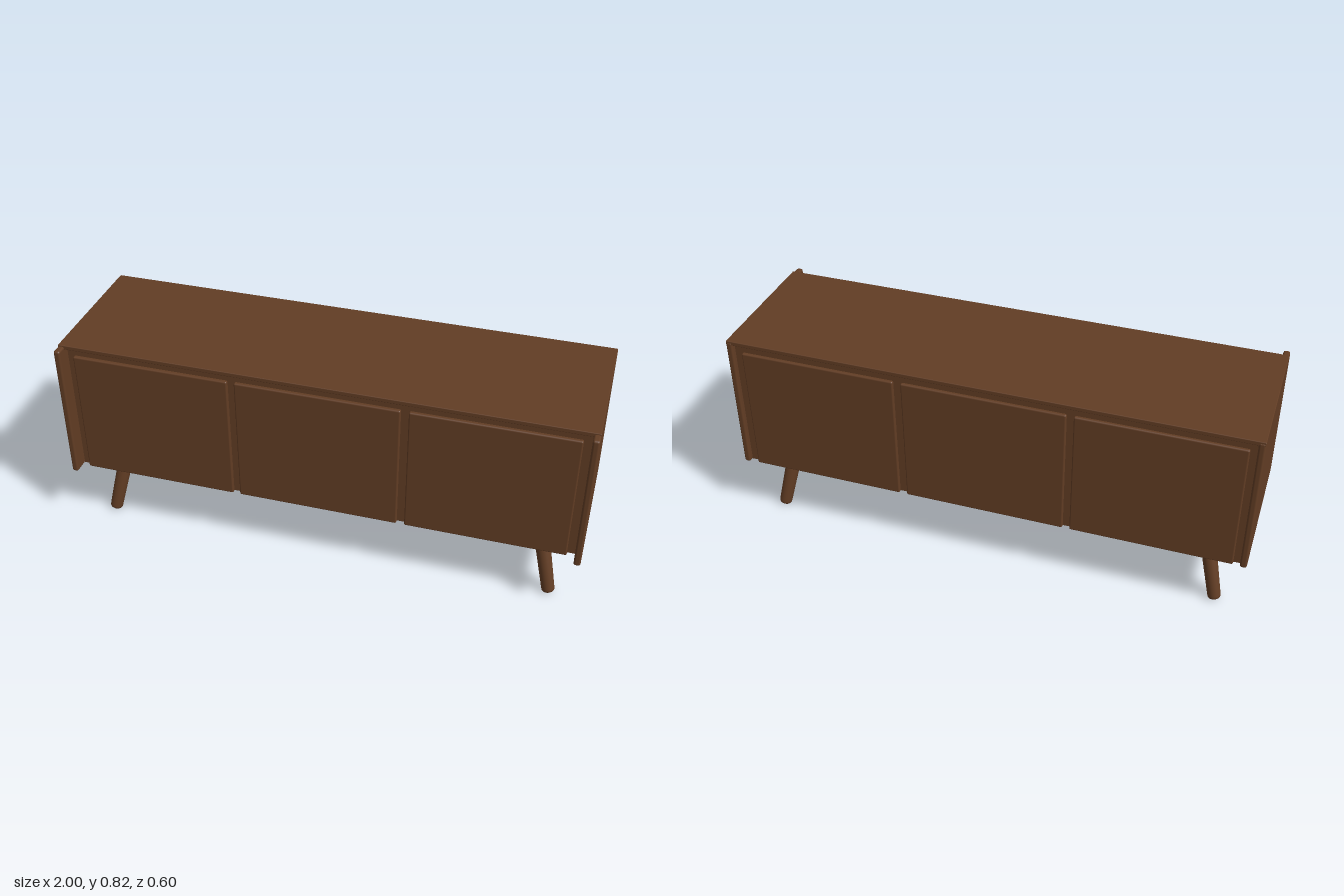
import * as THREE from 'three';
import { RoundedBoxGeometry } from 'three/addons/geometries/RoundedBoxGeometry.js';

export function createModel() {
  const model = new THREE.Group();
  model.name = 'sideboard';
  const wood = new THREE.MeshStandardMaterial({ color: 0x623d24 });
  wood.name = 'walnut brown';

  // Rounded board given by its minimum and maximum corners
  function board(name, [x0, y0, z0], [x1, y1, z1], radius) {
    const geometry = new RoundedBoxGeometry(x1 - x0, y1 - y0, z1 - z0, 2, radius);
    const mesh = new THREE.Mesh(geometry, wood);
    mesh.name = name;
    mesh.position.set((x0 + x1) / 2, (y0 + y1) / 2, (z0 + z1) / 2);
    model.add(mesh);
  }

  // Cabinet body, set back behind the panels on both faces
  board('carcass', [-0.98, 0.26, -0.28], [0.98, 0.81, 0.238], 0.002);
  board('topBoard', [-1, 0.803, -0.298], [1, 0.82, 0.26], 0.003);

  // Side boards stand proud of the front
  board('rightSide', [-1, 0.258, -0.3], [-0.975, 0.815, 0.3], 0.008);
  board('leftSide', [0.975, 0.258, -0.3], [1, 0.815, 0.3], 0.008);

  // Three doors in front, three matching panels behind
  const spans = [[-0.95, -0.34], [-0.313, 0.308], [0.338, 0.945]];
  for (const [x0, x1] of spans) {
    board('door', [x0, 0.256, 0.225], [x1, 0.77, 0.252], 0.006);
    board('backPanel', [x0, 0.256, -0.292], [x1, 0.77, -0.265], 0.006);
  }

  // Tapered legs with rounded feet, splayed outward
  function leg(name, top, foot) {
    const length = top.distanceTo(foot);
    const profile = [
      [0, 0], [0.017, 0], [0.022, 0.002], [0.0245, 0.007], [0.025, 0.014], [0.03, length], [0, length],
    ].map(([r, y]) => new THREE.Vector2(r, y));
    const mesh = new THREE.Mesh(new THREE.LatheGeometry(profile, 24), wood);
    mesh.name = name;
    mesh.position.copy(foot);
    mesh.quaternion.setFromUnitVectors(
      new THREE.Vector3(0, 1, 0), top.clone().sub(foot).normalize());
    model.add(mesh);
  }
  for (const side of [-1, 1]) {
    leg('frontLeg', new THREE.Vector3(side * 0.834, 0.275, 0.139), new THREE.Vector3(side * 0.895, 0.005, 0.179));
    leg('backLeg', new THREE.Vector3(side * 0.834, 0.275, -0.172), new THREE.Vector3(side * 0.895, 0.005, -0.211));
  }
  return model;
}
